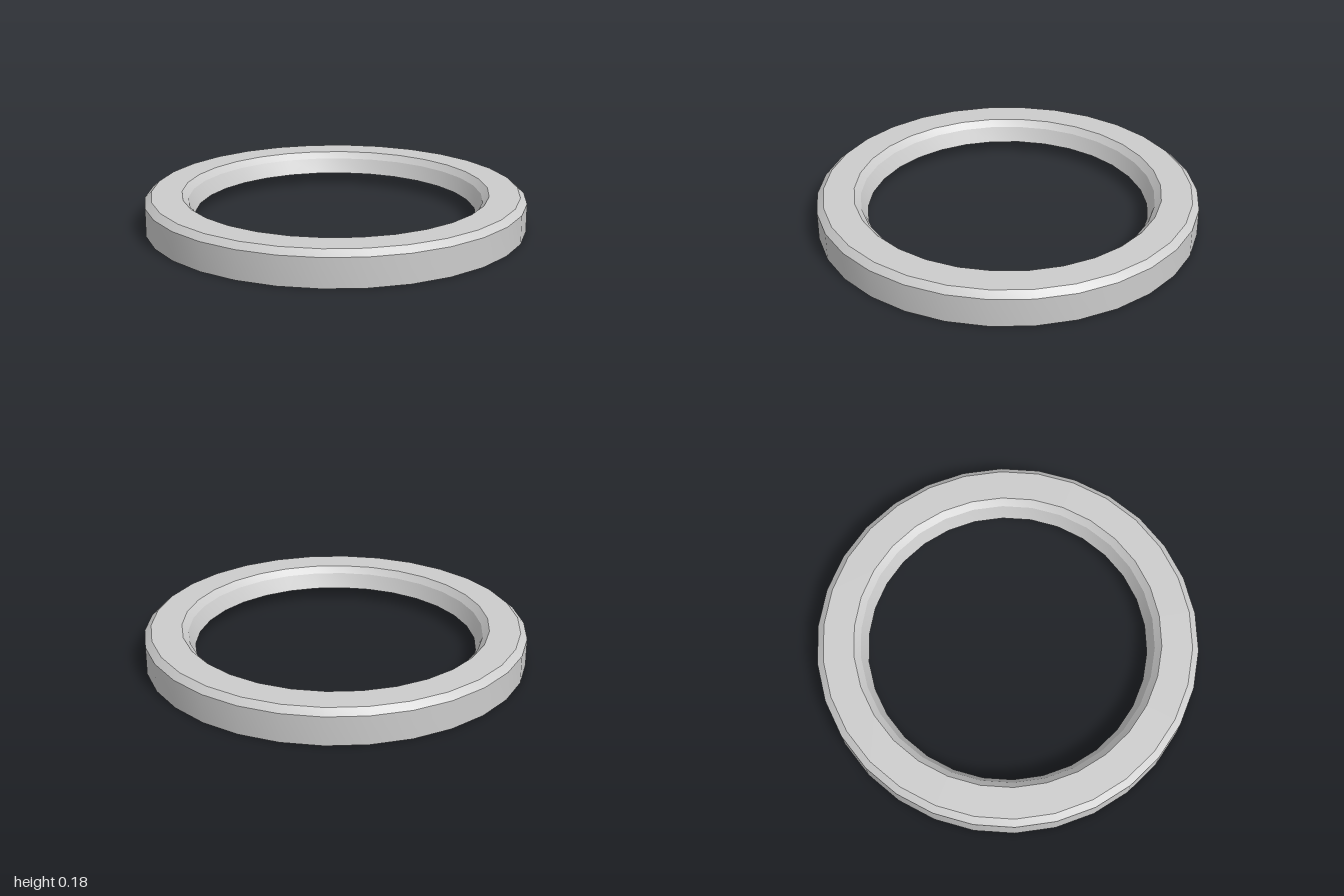
import * as THREE from 'three';
import { toCreasedNormals } from 'three/addons/utils/BufferGeometryUtils.js';

const SIDES = 30;

export function createModel() {
  const group = new THREE.Group();
  group.name = 'ring';

  // Thin shell section, open underneath: [radius, height]
  const section = [
    [1.0, 0], [1.0, 0.15],      // outer wall
    [0.965, 0.18],              // outer chamfer
    [0.805, 0.18],              // flat top
    [0.772, 0.147],             // inner bevel
    [0.738, 0.068],             // steep inner lip, stops above the ground
  ].map(([r, y]) => new THREE.Vector2(r, y));

  // Starting at a quarter turn puts corners on the x axis and flats on the z axis
  const lathe = new THREE.LatheGeometry(section, SIDES, Math.PI / 2);
  const geometry = toCreasedNormals(lathe, THREE.MathUtils.degToRad(18));

  const shell = new THREE.Mesh(
    geometry,
    new THREE.MeshStandardMaterial({ color: 0xcccccc, side: THREE.DoubleSide })
  );
  shell.name = 'ringShell';
  group.add(shell);
  return group;
}
